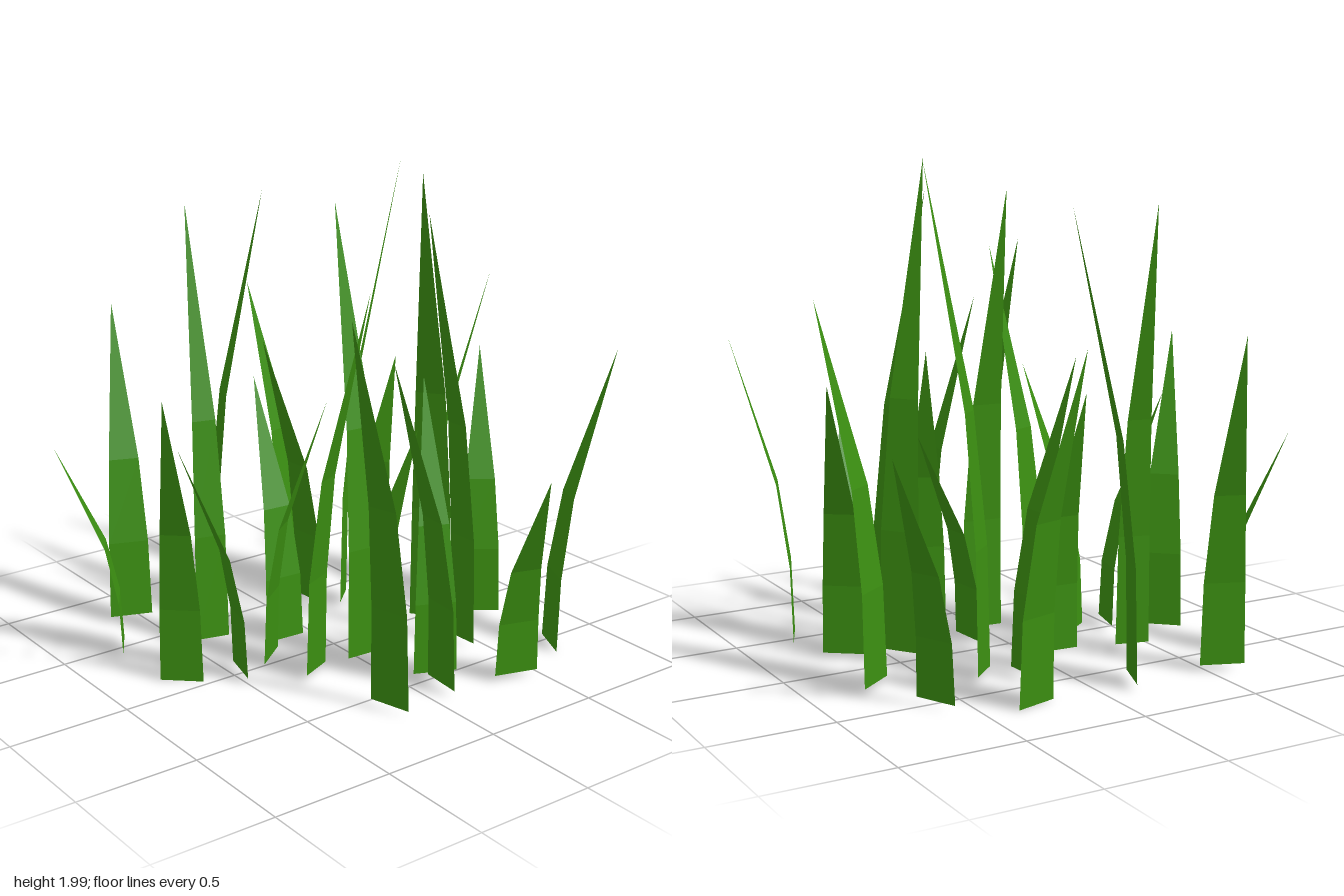
import * as THREE from 'three';

// One row per blade: base x, base z, tip x, tip z, tip height, [width, base height]
const BLADES = [
  [-0.555, -0.715, -0.47, -0.94, 1.36],
  [0.28, -0.695, 0.215, -0.93, 1.36, 0.18, 0.005],
  [-0.16, -0.67, 0.065, -0.585, 1.83],
  [-0.74, -0.465, -0.95, -0.595, 0.9],
  [0.62, -0.54, 0.835, -0.64, 0.98],
  [-0.4, -0.31, -0.34, -0.545, 1.83, 0.142],
  [0.17, -0.415, -0.07, -0.395, 1.245],
  [0.3, -0.33, 0.46, -0.155, 1.99, 0.145],
  [-0.13, -0.17, -0.115, -0.4, 1.1, 0.18, 0.005],
  [0.72, -0.24, 0.865, -0.045, 1.48],
  [-0.695, -0.085, -0.855, 0.09, 1.245, 0.175, 0.005],
  [-0.48, 0.015, -0.715, -0.045, 1.0],
  [-0.305, -0.02, -0.16, 0.17, 1.14],
  [0.02, 0.2, 0.035, -0.04, 1.87],
  [0.14, 0.1, 0.375, 0.08, 0.9],
  [0.47, 0.065, 0.275, 0.207, 1.99],
  [0.675, 0.145, 0.82, -0.05, 1.155],
  [-0.23, 0.19, -0.135, 0.407, 1.61, 0.15],
  [0.135, 0.5, 0.23, 0.285, 1.2],
  [0.43, 0.32, 0.205, 0.332, 1.86, 0.145],
  [-0.195, 0.62, -0.435, 0.685, 1.61],
  [0.09, 0.59, -0.15, 0.57, 1.38],
  [0.73, 0.535, 0.95, 0.635, 1.27, 0.185, 0.005],
  [0.39, 0.7, 0.32, 0.93, 0.92, 0.185],
];

// Cross-sections below the tip: [share of height, share of lean, share of width]
const ROWS = [[0, 0, 1], [0.25, 0.04, 0.93], [0.52, 0.24, 0.7]];

// Flat tapering strip that bends over towards its tip
function bladeGeometry([x, z, tipX, tipZ, height, width = 0.18, baseY = 0.03]) {
  const dx = tipX - x, dz = tipZ - z, len = Math.hypot(dx, dz);
  const sideX = -dz / len * width / 2, sideZ = dx / len * width / 2;
  const points = [], faces = [];
  ROWS.forEach(([up, lean, wide], i) => {
    for (const s of [-wide, wide]) {
      points.push(
        x + dx * lean + sideX * s,
        baseY + (height - baseY) * up,
        z + dz * lean + sideZ * s);
    }
    const a = i * 2;
    if (i < ROWS.length - 1) faces.push(a, a + 1, a + 3, a, a + 3, a + 2);
    else faces.push(a, a + 1, a + 2);
  });
  points.push(tipX, height, tipZ);

  const indexed = new THREE.BufferGeometry();
  indexed.setAttribute('position', new THREE.Float32BufferAttribute(points, 3));
  indexed.setIndex(faces);
  const geometry = indexed.toNonIndexed();
  geometry.computeVertexNormals();
  return geometry;
}

export function createModel() {
  const group = new THREE.Group();
  group.name = 'grassTuft';
  const green = new THREE.MeshStandardMaterial({
    color: 0x3b8f11, flatShading: true, side: THREE.DoubleSide,
  });
  green.name = 'grassGreen';

  BLADES.forEach((blade, i) => {
    const mesh = new THREE.Mesh(bladeGeometry(blade), green);
    mesh.name = `grassBlade${i + 1}`;
    group.add(mesh);
  });
  return group;
}
